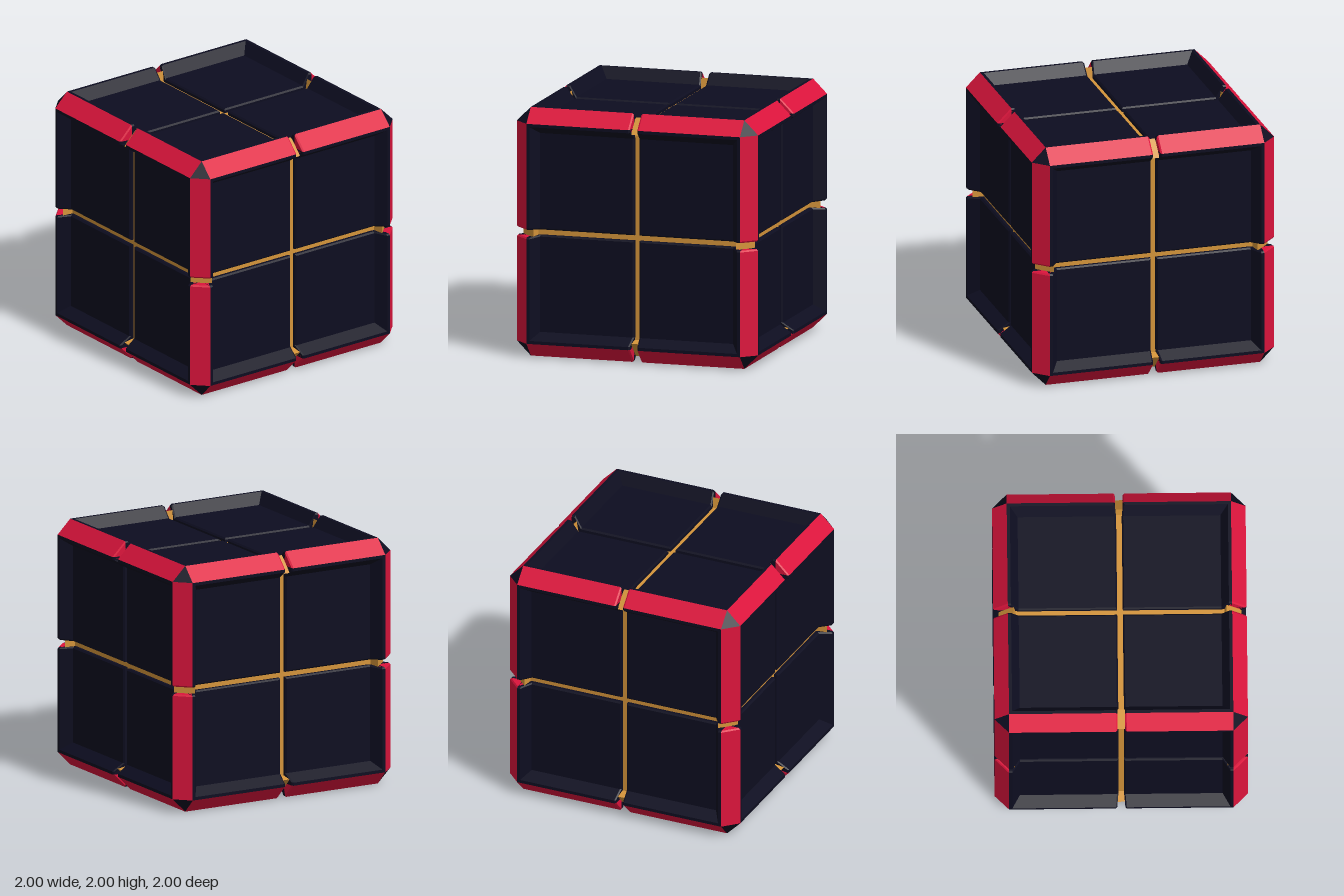
import * as THREE from 'three';

const C = 0.885;      // where the outer chamfer starts
const RECESS = 0.09;  // depth of the sunken face panels
const BEVEL = 0.012;  // small bevel along the gaps
const INNER = 0.75;   // how deep the gap walls reach

// Collects quads and triangles for one octant; mirrors them by sign
function collector(sign) {
  const pos = [];
  const flip = sign[0] * sign[1] * sign[2] < 0;
  const place = (p, k) => {
    const q = [0, 0, 0];
    for (let i = 0; i < 3; i++) q[(i + k) % 3] = p[i];
    return q.map((v, i) => v * sign[i]);
  };
  const tri = (k, a, b, c) => {
    for (const p of flip ? [a, c, b] : [a, b, c]) pos.push(...place(p, k));
  };
  const quad = (k, a, b, c, d) => { tri(k, a, b, c); tri(k, a, c, d); };
  const mesh = (name, material) => {
    const g = new THREE.BufferGeometry();
    g.setAttribute('position', new THREE.Float32BufferAttribute(pos, 3));
    g.computeVertexNormals();
    const m = new THREE.Mesh(g, material);
    m.name = name;
    return m;
  };
  return { tri, quad, mesh };
}

// One corner block: sunken panels, raised rims, gap walls, chamfer strips
function cornerBlock(sign, dark, red) {
  const body = collector(sign), trim = collector(sign);
  const stations = [0, 0, 0.8, 0.86, C];
  const gap = i => (i > 2 ? 0.031 : 0.022);
  const at = (i, j) => (i > 1 ? stations[i] : gap(j) + i * BEVEL);
  const point = (i, j) => [at(i, j), at(j, i),
    1 - (Math.max(i, j) > 2 ? 0 : RECESS) - (i === 0 || j === 0 ? BEVEL : 0)];
  const sunk = p => [p[0], p[1], INNER];

  for (let k = 0; k < 3; k++) {
    // Outer face
    for (let i = 0; i < 4; i++) for (let j = 0; j < 4; j++)
      body.quad(k, point(i, j), point(i + 1, j), point(i + 1, j + 1), point(i, j + 1));
    // Walls down into the gaps
    for (let j = 0; j < 4; j++) {
      const a = point(0, j), b = point(0, j + 1);
      body.quad(k, sunk(a), a, b, sunk(b));
      const c = point(j, 0), d = point(j + 1, 0);
      body.quad(k, sunk(c), sunk(d), d, c);
    }
    // Chamfer strip with its bevelled end
    const g = gap(4), h = 1 - BEVEL;
    trim.quad(k, [g + BEVEL, C, 1], [C, C, 1], [C, 1, C], [g + BEVEL, 1, C]);
    trim.quad(k, [g, C, h], [g + BEVEL, C, 1], [g + BEVEL, 1, C], [g, h, C]);
    trim.tri(k, [g, INNER, INNER], [g, C, h], [g, h, C]);
  }
  // Cut corner
  body.tri(0, [1, C, C], [C, 1, C], [C, C, 1]);

  const block = new THREE.Group();
  block.name = 'cornerBlock';
  block.add(body.mesh('blockBody', dark), trim.mesh('chamferTrim', red));
  return block;
}

// Core plate outline: low along each side, raised at the chamfered corners
function corePlateGeometry(thickness) {
  const floor = 1 - RECESS - 0.035;
  const side = [[0.825, floor], [0.84, 0.96], [0.96, 0.84], [floor, 0.825]];
  const pts = [];
  for (let q = 0; q < 4; q++) {
    const c = Math.round(Math.cos(q * Math.PI / 2)), s = Math.round(Math.sin(q * Math.PI / 2));
    for (const [x, y] of [...side].reverse())
      pts.push(new THREE.Vector2(x * c - y * s, x * s + y * c));
  }
  const g = new THREE.ExtrudeGeometry(new THREE.Shape(pts), { depth: thickness, bevelEnabled: false });
  return g.translate(0, 0, -thickness / 2);
}

export function createModel() {
  const dark = new THREE.MeshStandardMaterial({ color: 0x0d0d20 });
  dark.name = 'midnight';
  const red = new THREE.MeshStandardMaterial({ color: 0xdc143c });
  red.name = 'crimson';
  const gold = new THREE.MeshStandardMaterial({ color: 0xd4943a });
  gold.name = 'gold';

  const model = new THREE.Group();
  model.name = 'puzzleCube';
  for (const x of [-1, 1]) for (const y of [-1, 1]) for (const z of [-1, 1])
    model.add(cornerBlock([x, y, z], dark, red));

  // Three crossing plates seen through the gaps
  const plate = corePlateGeometry(0.08);
  const turns = [[0, 0], [Math.PI / 2, 0], [0, Math.PI / 2]];
  for (const [rx, ry] of turns) {
    const m = new THREE.Mesh(plate, gold);
    m.name = 'corePlate';
    m.rotation.set(rx, ry, 0);
    model.add(m);
  }

  // Stand the cube on the ground
  for (const part of model.children) part.position.y = 1;
  return model;
}
